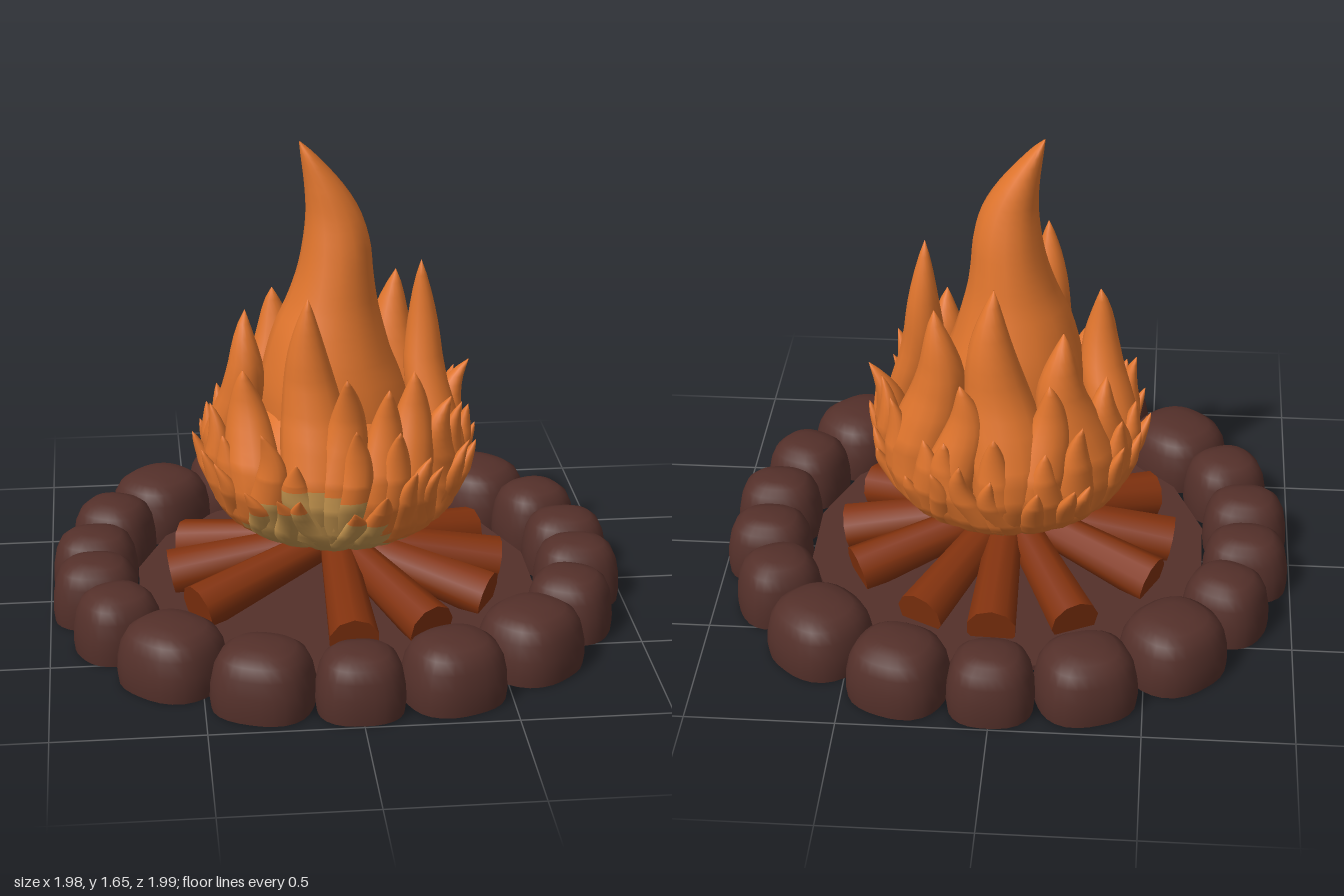
import * as THREE from 'three';
import { mergeVertices } from 'three/addons/utils/BufferGeometryUtils.js';
import { ParametricGeometry } from 'three/addons/geometries/ParametricGeometry.js';

const rad = THREE.MathUtils.degToRad;

// Small seeded random generator
function seeded(seed) {
  return () => (seed = (seed * 16807) % 2147483647) / 2147483647;
}

function material(name, color, options = {}) {
  const m = new THREE.MeshStandardMaterial({ color, ...options });
  m.name = name;
  return m;
}

// Outer radius of the whole fire at height y
const BOWL = [[0.24, 0.14], [0.27, 0.25], [0.3, 0.32], [0.35, 0.39], [0.4, 0.425], [0.5, 0.46], [0.6, 0.46],
  [0.7, 0.43], [0.8, 0.395], [0.9, 0.37], [1.0, 0.355], [1.1, 0.335], [1.3, 0.28]];
function bowl(y) {
  for (let i = 1; i < BOWL.length; i++) {
    const [y0, r0] = BOWL[i - 1], [y1, r1] = BOWL[i];
    if (y <= y1) return THREE.MathUtils.lerp(r0, r1, Math.max(0, (y - y0) / (y1 - y0)));
  }
  return 0.28;
}

// Skin of stacked horizontal ellipses; section(v) gives centre, half width and half depth
function skin(section, angle, from, to, stacks) {
  const sin = Math.sin(angle), cos = Math.cos(angle);
  return new ParametricGeometry((u, v, target) => {
    const s = section(from + (to - from) * v), a = u * Math.PI * 2;
    const side = s.side + Math.sin(a) * s.w, out = s.out + Math.cos(a) * s.d;
    target.set(cos * side + sin * out, s.y, -sin * side + cos * out);
  }, 14, stacks);
}

export function createModel() {
  const model = new THREE.Group();
  model.name = 'campfire';
  const rnd = seeded(4711);
  const stoneMat = material('stone brown', 0x54302a, { side: THREE.DoubleSide });
  const woodMat = material('wood red brown', 0x82320e);
  const flameMat = material('flame orange', 0xe0752d, { side: THREE.DoubleSide });
  const glowMat = material('ember yellow', 0xc4944e, { side: THREE.DoubleSide });

  const add = (parent, name, geometry, mat) => {
    const mesh = new THREE.Mesh(geometry, mat);
    mesh.name = name;
    parent.add(mesh);
    return mesh;
  };
  const group = (name) => {
    const g = new THREE.Group();
    g.name = name;
    model.add(g);
    return g;
  };

  // Ground disc with flat edges facing the axes
  const disc = add(model, 'groundDisc', new THREE.CylinderGeometry(0.725, 0.725, 0.02, 16, 1, false, Math.PI / 16), stoneMat);
  disc.position.y = 0.04;
  disc.scale.x = 0.97;

  // Domed stone with a rounded square outline and an open bottom
  const profile = [[0.97, 0], [1, 0.04], [0.985, 0.09], [0.92, 0.145], [0.8, 0.185], [0.62, 0.207], [0.36, 0.218], [0, 0.222]]
    .map(([r, y]) => new THREE.Vector2(r, y));
  let stoneGeo = new THREE.LatheGeometry(profile, 28);
  const p = stoneGeo.attributes.position;
  for (let i = 0; i < p.count; i++) {
    const a = Math.atan2(p.getZ(i), p.getX(i));
    const k = Math.pow(Math.abs(Math.cos(a)) ** 2.5 + Math.abs(Math.sin(a)) ** 2.5, -1 / 2.5);
    p.setXYZ(i, p.getX(i) * k, p.getY(i), p.getZ(i) * k);
  }
  stoneGeo.deleteAttribute('normal');
  stoneGeo.deleteAttribute('uv');
  stoneGeo = mergeVertices(stoneGeo, 1e-4);
  stoneGeo.computeVertexNormals();

  // Stone ring: x, z, tangential and radial half size, mirrored on both axes
  const ring = group('stoneRing');
  const quarter = [[0, 0.86, 0.147, 0.137], [0.31, 0.81, 0.17, 0.155], [0.595, 0.615, 0.178, 0.165],
    [0.77, 0.37, 0.138, 0.145], [0.84, 0.12, 0.128, 0.15]];
  for (const [x, z, w, d] of quarter) {
    for (const sx of x ? [1, -1] : [1]) {
      for (const sz of [1, -1]) {
        const stone = add(ring, 'stone', stoneGeo, stoneMat);
        stone.position.set(x * sx, 0, z * sz);
        stone.rotation.y = x > 0.8 ? Math.PI / 2 : Math.atan2(x * sx, z * sz);
        stone.scale.set(w, 0.97 + rnd() * 0.04, d);
      }
    }
  }

  // Logs leaning in towards the centre
  const logs = group('logs');
  for (const deg of [1, 29, 61, 90, 117, 152, 178, 207, 244, 270, 300]) {
    const a = rad(deg);
    const outer = new THREE.Vector3(Math.sin(a) * 0.575, 0.09, Math.cos(a) * 0.575);
    const inner = new THREE.Vector3(Math.sin(a) * 0.07, 0.195, Math.cos(a) * 0.07);
    const dir = inner.clone().sub(outer);
    const log = add(logs, 'log', new THREE.CylinderGeometry(0.06, 0.086, dir.length(), 10), woodMat);
    log.position.copy(outer).add(inner).multiplyScalar(0.5);
    log.quaternion.setFromUnitVectors(new THREE.Vector3(0, 1, 0), dir.normalize());
  }

  // Core filling the inside of the fire
  const fire = group('fire');
  const lathe = (pts) => new THREE.LatheGeometry(pts.map(([r, y]) => new THREE.Vector2(r, y)), 32);
  add(fire, 'emberBase', lathe([[0, 0.235], [0.14, 0.24], [0.24, 0.27], [0.31, 0.315]]), glowMat);
  add(fire, 'fireCore', lathe([[0.31, 0.315], [0.36, 0.38], [0.38, 0.46], [0.36, 0.57], [0.3, 0.68], [0.2, 0.8],
    [0, 0.9]]), flameMat);

  // Main flame: y, side shift, half width, half depth
  const rows = [[0.6, 0, 0.27, 0.27], [0.7, 0, 0.265, 0.265], [0.8, -0.01, 0.25, 0.255], [0.9, -0.02, 0.22, 0.235],
    [1.0, -0.02, 0.19, 0.205], [1.1, -0.01, 0.155, 0.175], [1.2, 0, 0.13, 0.152], [1.3, 0.005, 0.115, 0.128],
    [1.4, -0.005, 0.095, 0.1], [1.5, -0.038, 0.066, 0.075], [1.6, -0.088, 0.027, 0.042], [1.65, -0.118, 0.002, 0.004]];
  const path = new THREE.CatmullRomCurve3(rows.map((r) => new THREE.Vector3(r[1], r[0], 0)), false, 'catmullrom');
  const size = new THREE.CatmullRomCurve3(rows.map((r) => new THREE.Vector3(r[2], r[3], 0)), false, 'catmullrom');
  add(fire, 'mainFlame', skin((v) => {
    const c = path.getPoint(v), s = size.getPoint(v);
    return { side: c.x, y: c.y, out: 0, w: s.x, d: s.y };
  }, 0, 0, 1, 32), flameMat);

  // Flame tongue hugging the fire's outline; its foot glows, highest near the front
  function tongue(name, deg, base, tipY, tipR, w, d, lean) {
    const section = (v) => {
      const y = base + (tipY - base) * v;
      const fat = (0.6 + 0.4 * Math.sin(Math.min(1, v * 2.2) * Math.PI / 2)) * Math.pow(1 - Math.min(1, v) ** 3, 0.9) + 0.01;
      const hug = bowl(y) - d * fat;
      const out = THREE.MathUtils.lerp(hug, tipR, v ** 4);
      const side = lean * v * v - lean * 0.8 * Math.sin(v * Math.PI * 2);
      return { side, y, out, w: w * fat * Math.min(1, 0.25 + bowl(y) * 1.8), d: d * fat };
    };
    const front = Math.max(0, 1 - Math.abs(deg + 18) / 46);
    const glow = Math.min(0.315 + Math.min(0.26, front * 0.36), tipY - 0.06);
    const split = Math.max(0, (glow - base) / (tipY - base));
    if (split > 0) add(fire, name + 'Glow', skin(section, rad(deg), 0, split, 8), glowMat);
    add(fire, name, skin(section, rad(deg), split, 1, 16), flameMat);
  }

  // Tall tongues: angle, tip height, tip radius, half width, lean
  const tall = [[-18, 1.2, 0.32, 0.125, -0.02], [75, 1.24, 0.29, 0.1, 0.03], [180, 1.23, 0.27, 0.14, -0.03],
    [128, 1.12, 0.32, 0.13, 0.03], [-90, 1.08, 0.31, 0.11, 0.04], [-135, 1.06, 0.31, 0.13, -0.03],
    [35, 0.93, 0.37, 0.1, 0.03], [-55, 0.92, 0.38, 0.11, -0.03], [-3, 0.97, 0.45, 0.095, 0.02], [155, 0.92, 0.39, 0.1, 0.03],
    [58, 0.83, 0.45, 0.085, -0.03], [96, 0.83, 0.48, 0.085, 0.03], [-112, 0.86, 0.38, 0.09, -0.03],
    [-160, 0.92, 0.38, 0.1, 0.03], [17, 0.91, 0.42, 0.085, 0.02]];
  for (const [deg, tipY, tipR, w, lean] of tall) tongue('tallFlame', deg, 0.36, tipY, tipR, w, w * 0.85, lean);

  // Two rings of smaller tongues, flaring a little more at the front
  const rings = [['middleFlame', 18, 0.73, 0.44, 0.08, 0.06], ['lowFlame', 24, 0.6, 0.475, 0.058, 0.046]];
  for (const [name, count, tipY, tipR, w, d] of rings) {
    for (let i = 0; i < count; i++) {
      const deg = (i / count) * 360 - 180 + (rnd() - 0.5) * 6;
      const flare = rnd() * 0.02 + Math.max(0, Math.cos(rad(deg))) * 0.035;
      tongue(name, deg, 0.245, tipY + (rnd() - 0.5) * 0.15, tipR + flare, w, d, (rnd() - 0.5) * 0.07);
    }
  }
  return model;
}
